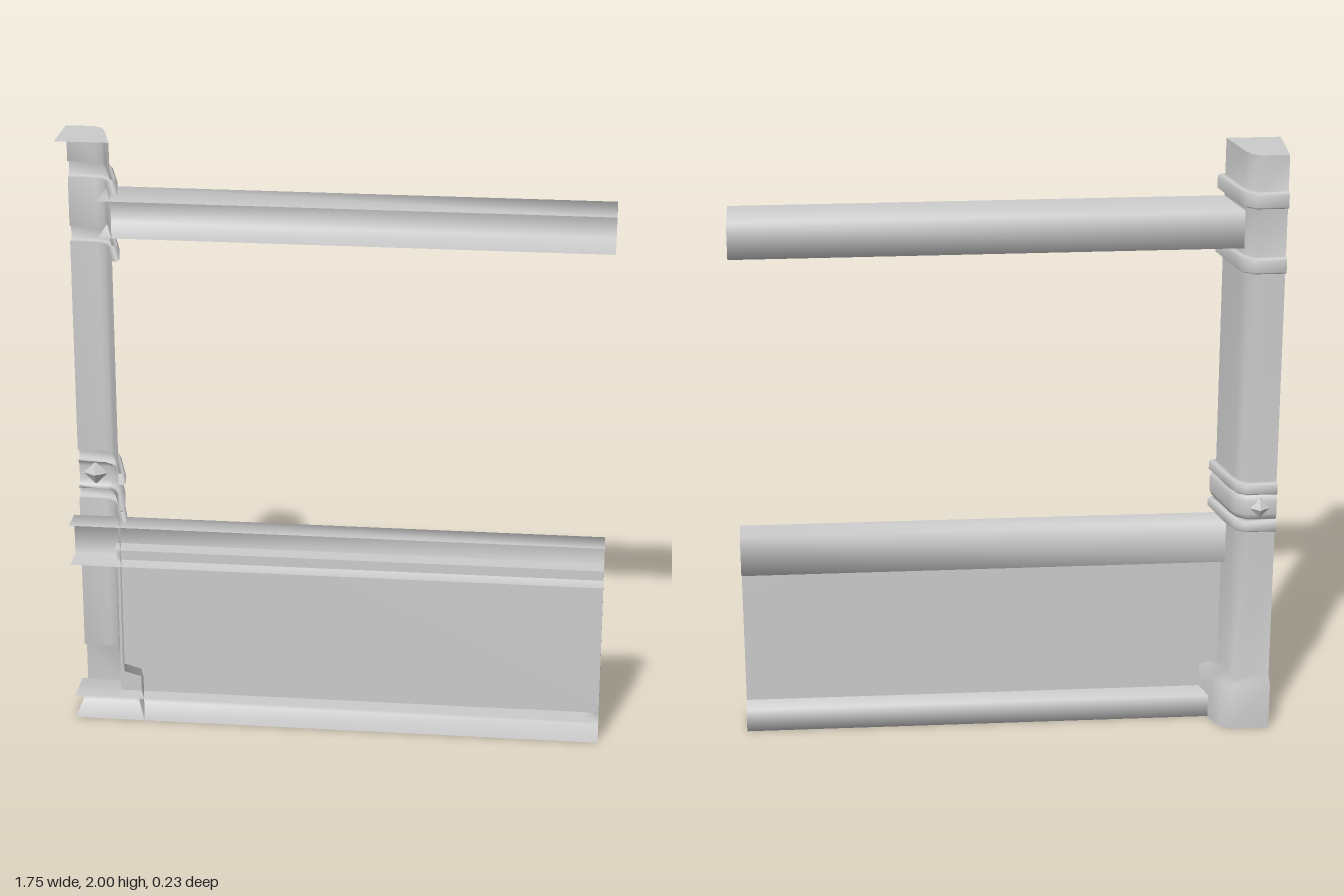
import * as THREE from 'three';

const material = new THREE.MeshStandardMaterial({ color: 0xcccccc, side: THREE.DoubleSide });

// Smooth open surface through rows of [x, y, z] points
function loft(name, rows) {
  const n = rows[0].length;
  const index = [];
  for (let j = 0; j < rows.length - 1; j++) {
    for (let i = 0; i < n - 1; i++) {
      const a = j * n + i, b = a + 1, c = a + n, d = c + 1;
      index.push(a, c, b, b, c, d);
    }
  }
  const geometry = new THREE.BufferGeometry();
  geometry.setAttribute('position', new THREE.Float32BufferAttribute(rows.flat(2), 3));
  geometry.setIndex(index);
  geometry.computeVertexNormals();
  const mesh = new THREE.Mesh(geometry, material);
  mesh.name = name;
  return mesh;
}

const FRONT = 0.115; // open cut plane
const LEFT = -0.875, RIGHT = 0.875;

// Channel rail: top, back and bottom, open to the front
function rail(name, x0, y0, y1, back) {
  const profile = [[y1, FRONT], [y1, back], [y0, back], [y0, FRONT]];
  return loft(name, [x0, RIGHT].map(x => profile.map(([y, z]) => [x, y, z])));
}

// Half cross-section of the post, pushed outward by dx and dz
function postSection(y, dx = 0, dz = dx) {
  return [
    [LEFT, -0.075 - dz],
    [-0.785 + dx * 0.6, -0.075 - dz],
    [-0.758 + dx * 0.75, -0.058 - dz * 0.8],
    [-0.742 + dx * 0.85, -0.025 - dz * 0.5],
    [-0.703 + dx, FRONT],
  ].map(([x, z]) => [x, y, z]);
}

// Rounded moulding around the post
function ring(y0, y1) {
  const r = 0.007;
  return [[y0, 0], [y0, 0.016], [y0 + r, 0.024], [y1 - r, 0.024], [y1, 0.016], [y1, 0]];
}

export function createModel() {
  const model = new THREE.Group();

  // Post with stepped foot and mouldings, as [height, offset, back offset]
  const levels = [
    [0, 0.063, 0.036], [0.162, 0.063, 0.036], [0.18, 0, 0],
    ...ring(0.72, 0.757),
    [0.765, 0.012], [0.785, 0.02], [0.83, 0.02], [0.847, 0.012],
    ...ring(0.853, 0.893),
    ...ring(1.615, 1.667),
    ...ring(1.83, 1.883),
    [2, 0],
  ];
  model.add(loft('post', levels.map(([y, dx, dz]) => postSection(y, dx, dz))));

  // Flat top of the post
  const top = postSection(2);
  model.add(loft('postTop', [top, top.map(([x, y]) => [x, y, FRONT])]));

  // Pointed stud on the collar
  const stud = new THREE.Mesh(
    new THREE.OctahedronGeometry(1),
    new THREE.MeshStandardMaterial({ color: 0xcccccc, flatShading: true })
  );
  stud.name = 'collarStud';
  stud.scale.set(0.04, 0.04, 0.027);
  stud.position.set(-0.82, 0.807, -0.09);
  model.add(stud);

  // Rails
  model.add(rail('handrail', -0.745, 1.69, 1.81, -0.055));
  model.add(rail('panelTopRail', LEFT, 0.56, 0.7, 0.022));
  model.add(rail('panelBottomRail', LEFT, 0, 0.08, -0.018));

  // Infill panel: back and right end, then its upper and lower edges
  const back = 0.055, panelLeft = -0.728, y0 = 0.08, y1 = 0.62;
  const path = [[panelLeft, back], [RIGHT, back], [RIGHT, FRONT]];
  model.add(loft('panel', [y0, y1].map(y => path.map(([x, z]) => [x, y, z]))));
  const edge = (y, za, zb) => [za, zb].map(z => [[panelLeft, y, z], [RIGHT, y, z]]);
  model.add(loft('panelTopEdge', edge(y1, back, FRONT)));
  model.add(loft('panelBottomEdge', edge(y0, FRONT, back)));

  return model;
}
